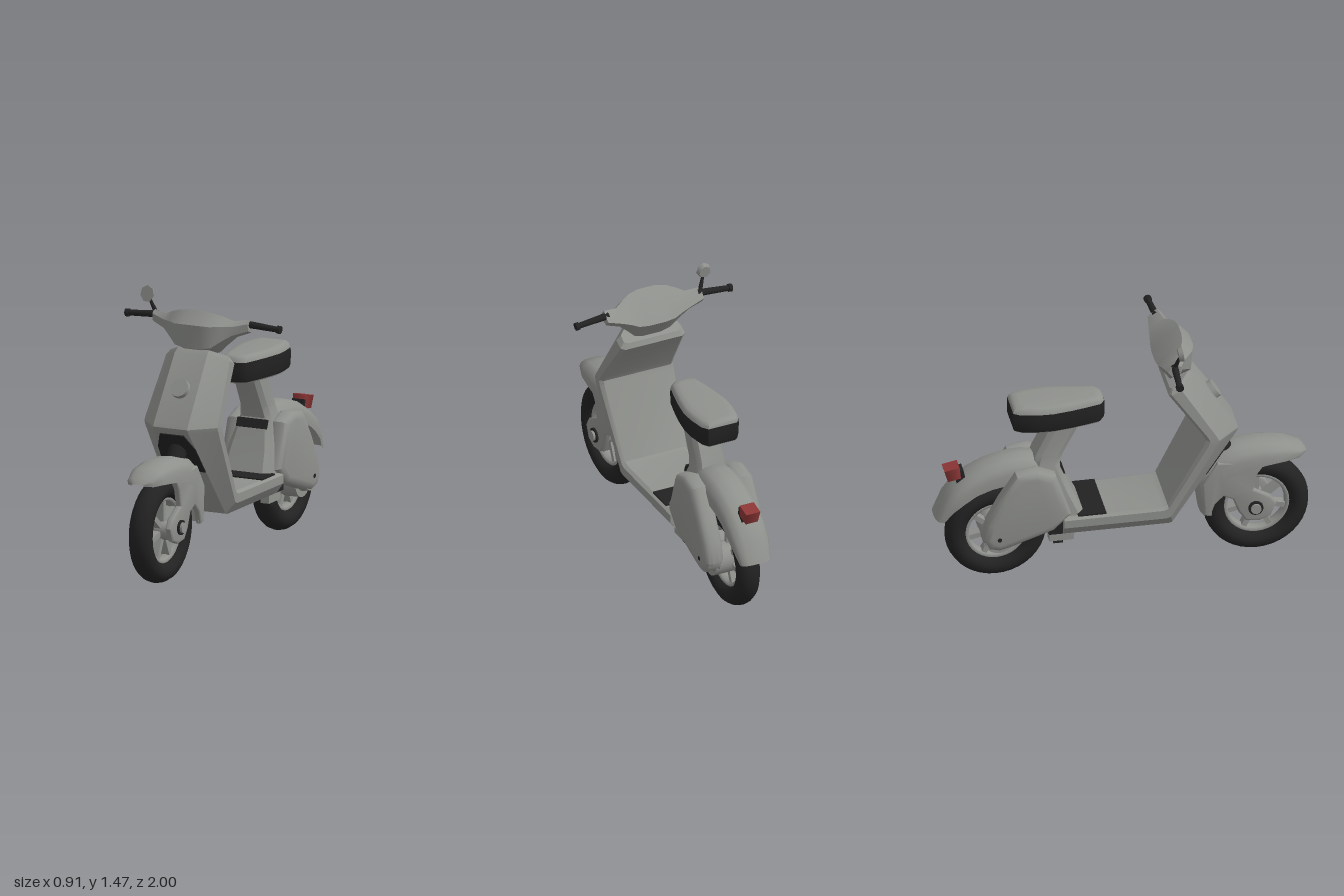
import * as THREE from 'three';
import { toCreasedNormals } from 'three/addons/utils/BufferGeometryUtils.js';

const paint = (name, color) => new THREE.MeshStandardMaterial({ name, color, side: THREE.DoubleSide });

// Skin over a list of rings (arrays of [x, y, z]); closed rings get end caps.
function loft(rings, closed = true, crease = 0.6) {
  const n = rings[0].length, pos = rings.flat(2), idx = [];
  for (let i = 0; i < rings.length - 1; i++) {
    for (let j = 0; j < (closed ? n : n - 1); j++) {
      const a = i * n + j, b = i * n + (j + 1) % n;
      idx.push(a, b, b + n, a, b + n, a + n);
    }
  }
  if (closed) {
    const last = (rings.length - 1) * n;
    for (let j = 1; j < n - 1; j++) idx.push(0, j + 1, j, last, last + j, last + j + 1);
  }
  // Turn faces outward when the enclosed volume comes out negative.
  let volume = 0;
  const p = (i) => new THREE.Vector3().fromArray(pos, i * 3);
  for (let k = 0; k < idx.length; k += 3) volume += p(idx[k]).dot(p(idx[k + 1]).cross(p(idx[k + 2])));
  if (volume < 0) idx.reverse();
  const g = new THREE.BufferGeometry();
  g.setAttribute('position', new THREE.Float32BufferAttribute(pos, 3));
  g.setIndex(idx);
  return toCreasedNormals(g, crease);
}

// Half ring (x > 0) joined with its mirror image.
const mirrorRing = (half) => [...half, ...half.map(([x, y, z]) => [-x, y, z]).reverse()];
const mix = (a, b, t) => a + (b - a) * t;

// Side outline of [z, y] points, extruded across x around xMid.
function sidePlate(points, xMid, width, bevel) {
  const g = new THREE.ExtrudeGeometry(new THREE.Shape(points.map((q) => new THREE.Vector2(...q))), {
    depth: width - 2 * bevel, bevelThickness: bevel, bevelSize: bevel, bevelOffset: -bevel, bevelSegments: 3,
  });
  g.translate(0, 0, -(width - 2 * bevel) / 2).rotateY(-Math.PI / 2).translate(xMid, 0, 0);
  return toCreasedNormals(g, 0.7);
}

// Mudguard from stations [zOuter, yOuter, zSkirt, ySkirt, halfWidth].
function mudguard(stations) {
  const arch = [[1, 0], [1, 0.45], [0.88, 0.75], [0.55, 0.95], [0, 1], [-0.55, 0.95], [-0.88, 0.75], [-1, 0.45], [-1, 0]];
  return loft(stations.map(([zo, yo, zi, yi, w]) =>
    arch.map(([u, t]) => [u * w, mix(yi, yo, t), mix(zi, zo, t)])), false, 1);
}

// Cylinder between two points.
function rod(a, b, r0, r1 = r0, sides = 14) {
  const A = new THREE.Vector3(...a), d = new THREE.Vector3(...b).sub(A);
  const g = new THREE.CylinderGeometry(r1, r0, d.length(), sides);
  g.applyQuaternion(new THREE.Quaternion().setFromUnitVectors(new THREE.Vector3(0, 1, 0), d.clone().normalize()));
  return g.translate(...A.addScaledVector(d, 0.5).toArray());
}

export function createModel() {
  const model = new THREE.Group();
  model.name = 'scooter';
  const grey = paint('bodyGrey', 0x8f918d), black = paint('rubberBlack', 0x222222), red = paint('lampRed', 0x8c3636);
  const add = (name, geometry, material, parent = model) => {
    const m = new THREE.Mesh(geometry, material);
    m.name = name;
    parent.add(m);
    return m;
  };

  // Wheels
  const wheel = (name, y, z, r, hubR, hubW) => {
    const g = new THREE.Group();
    g.name = name;
    g.position.set(0, y, z);
    model.add(g);
    add('tyre', new THREE.TorusGeometry(r - 0.057, 0.057, 14, 40).scale(1, 1, 1.15).rotateY(Math.PI / 2), black, g);
    add('rim', new THREE.TorusGeometry(r - 0.112, 0.018, 8, 36).scale(1, 1, 2).rotateY(Math.PI / 2), grey, g);
    for (let i = 0; i < 7; i++) {
      const s = add('spoke', new THREE.BoxGeometry(0.05, r - 0.11, 0.028).translate(0, (r - 0.11) / 2, 0), grey, g);
      s.rotation.x = (i / 7) * Math.PI * 2;
    }
    add('hub', rod([-hubW, 0, 0], [hubW, 0, 0], hubR, hubR, 24), grey, g);
  };
  wheel('frontWheel', 0.28, 0.72, 0.28, 0.05, 0.075);
  wheel('rearWheel', 0.272, -0.665, 0.27, 0.085, 0.12);

  // Leg shield and floor: [zOuter, yOuter, zInner, yInner, frontHalf, backHalf, side depth]
  const shield = [
    [0.345, 1.175, 0.235, 1.115, 0.09, 0.165, 0.45],
    [0.375, 1.15, 0.225, 1.085, 0.095, 0.187, 0.45],
    [0.60, 0.82, 0.405, 0.83, 0.1, 0.213, 0.35],
    [0.61, 0.80, 0.42, 0.80, 0.1, 0.215, 0.35],
    [0.60, 0.78, 0.41, 0.77, 0.102, 0.215, 0.35],
    [0.25, 0.285, 0.22, 0.41, 0.14, 0.19, 0.5],
    [0.23, 0.28, 0.19, 0.40, 0.14, 0.19, 0.5],
    [-0.33, 0.28, -0.33, 0.39, 0.14, 0.18, 0.5],
  ];
  add('legShieldAndFloor', loft(shield.map(([zo, yo, zi, yi, wf, wb, t]) => mirrorRing(
    [[wb - 0.02, 0], [wb, 0.1], [wb, t], [wf, 1]].map(([x, k]) => [x, mix(yi, yo, k), mix(zi, zo, k)]))), true, 0.4), grey);
  add('floorMat', new THREE.BoxGeometry(0.34, 0.008, 0.15).translate(0, 0.397, -0.18), black);

  // Round badge plate and dark steering opening
  const badge = add('badge', toCreasedNormals(
    new THREE.CylinderGeometry(0.05, 0.055, 0.05, 24).rotateX(Math.PI / 2), 0.6), grey);
  badge.position.set(0, 0.985, 0.487);
  badge.rotation.x = -0.594;
  const archHalf = [[0.12, -0.14], [0.11, 0.03], [0.07, 0.13]];
  const archShape = new THREE.Shape([...archHalf, ...archHalf.map(([x, y]) => [-x, y]).reverse()]
    .map((q) => new THREE.Vector2(...q)));
  const opening = add('steeringOpening', new THREE.ExtrudeGeometry(archShape, { depth: 0.008, bevelEnabled: false }), black);
  opening.position.set(0, 0.66, 0.512);
  opening.rotation.x = 0.619;
  add('steeringColumn', rod([0, 0.74, 0.48], [0, 0.58, 0.57], 0.05), black);

  // Front mudguard with fork covers
  add('frontMudguard', mudguard([
    [0.985, 0.575, 0.975, 0.565, 0.035], [0.96, 0.605, 0.94, 0.56, 0.075], [0.87, 0.642, 0.87, 0.56, 0.1],
    [0.74, 0.66, 0.76, 0.55, 0.11], [0.62, 0.655, 0.66, 0.53, 0.11], [0.51, 0.63, 0.57, 0.5, 0.11],
    [0.44, 0.57, 0.52, 0.45, 0.105], [0.40, 0.48, 0.48, 0.42, 0.1], [0.402, 0.36, 0.47, 0.35, 0.1],
    [0.415, 0.27, 0.47, 0.265, 0.09],
  ]), grey);
  const forkOutline = [[0.76, 0.57], [0.71, 0.5], [0.69, 0.41], [0.78, 0.36], [0.81, 0.31], [0.78, 0.24], [0.72, 0.215],
    [0.65, 0.225], [0.61, 0.28], [0.58, 0.36], [0.53, 0.385], [0.485, 0.34], [0.46, 0.27], [0.43, 0.28], [0.42, 0.47], [0.5, 0.59]];

  // Rear mudguard
  add('rearMudguard', mudguard([
    [-0.37, 0.66, -0.38, 0.5, 0.1], [-0.45, 0.71, -0.47, 0.56, 0.105], [-0.53, 0.722, -0.54, 0.58, 0.105],
    [-0.62, 0.715, -0.62, 0.585, 0.105], [-0.72, 0.688, -0.70, 0.57, 0.105], [-0.82, 0.635, -0.78, 0.54, 0.105],
    [-0.89, 0.58, -0.84, 0.5, 0.105], [-0.945, 0.505, -0.90, 0.45, 0.1], [-0.995, 0.39, -0.95, 0.385, 0.085],
  ]), grey);
  const coverOutline = [[-0.37, 0.65], [-0.29, 0.41], [-0.38, 0.32], [-0.6, 0.245], [-0.67, 0.225], [-0.73, 0.24], [-0.76, 0.3],
    [-0.74, 0.4], [-0.67, 0.53], [-0.58, 0.67], [-0.47, 0.69]];

  // Paired parts
  for (const s of [-1, 1]) {
    add('forkCover', sidePlate(forkOutline, s * 0.09, 0.036, 0.01), grey);
    add('frontAxleRing', rod([s * 0.1, 0.3, 0.7], [s * 0.118, 0.3, 0.7], 0.04), black);
    add('frontAxleNut', rod([s * 0.1, 0.3, 0.7], [s * 0.13, 0.3, 0.7], 0.028), grey);
    add('rearSideCover', sidePlate(coverOutline, s * 0.127, 0.114, 0.04), grey);
    add('rearHubCap', rod([s * 0.1, 0.3, -0.675], [s * 0.165, 0.3, -0.675], 0.085, 0.075, 24), grey);
    add('rearAxleBolt', rod([s * 0.17, 0.305, -0.675], [s * 0.186, 0.305, -0.675], 0.012), black);
    add('grip', rod([s * 0.26, 1.312, 0.24], [s * 0.45, 1.298, 0.232], 0.019, 0.015), black);
    add('gripEnd', rod([s * 0.435, 1.3, 0.232], [s * 0.455, 1.298, 0.232], 0.021), black);
    add('standBracket', new THREE.BoxGeometry(0.05, 0.07, 0.13).translate(s * 0.1, 0.265, -0.335), grey);
    add('standFoot', new THREE.BoxGeometry(0.035, 0.03, 0.05).translate(s * 0.09, 0.22, -0.35), black);
  }
  add('engineBlock', new THREE.BoxGeometry(0.28, 0.12, 0.09).translate(0, 0.34, -0.36), black);

  // Seat column: [y, zFront, zBack, halfWidth]
  const column = [[0.39, -0.215, -0.38, 0.15], [0.52, -0.275, -0.42, 0.13], [0.67, -0.335, -0.48, 0.09],
    [0.73, -0.315, -0.46, 0.08], [0.91, -0.22, -0.37, 0.075]];
  add('seatColumn', loft(column.map(([y, f, b, w]) => mirrorRing(
    [[w * 0.75, y, f], [w, y, f - 0.03], [w, y, b + 0.03], [w * 0.75, y, b]]))), grey);
  add('columnBand', new THREE.BoxGeometry(0.18, 0.05, 0.008).rotateX(-0.4).translate(0, 0.64, -0.322), black);

  // Seat: plan outline scaled per level [y, scale]
  const plan = [[0.04, -0.09], [0.075, -0.115], [0.095, -0.19], [0.115, -0.28], [0.13, -0.38], [0.127, -0.46], [0.11, -0.55], [0.085, -0.587]];
  const seatPart = (levels) => loft(levels.map(([y, k]) => mirrorRing(
    plan.map(([x, z]) => [x * k, y, -0.34 + (z + 0.34) * mix(1, k, 0.5)]))), true, 0.8);
  add('seatSkirt', seatPart([[0.905, 0.93], [0.92, 0.98], [0.98, 1], [1.012, 0.985]]), black);
  add('seatCushion', seatPart([[1.01, 0.985], [1.03, 0.94], [1.042, 0.83], [1.045, 0.6]]), grey);
  add('seatBase', seatPart([[0.897, 0.87], [0.906, 0.92]]), grey);
  add('seatLatch', new THREE.BoxGeometry(0.04, 0.03, 0.03).translate(0, 0.885, -0.42), black);

  // Handlebar housing: [x, yBottom, yTop, zBack, zFront]
  const hex = [[0.7, 1], [1, 0.72], [0.95, 0.2], [0.35, 0], [0, 0.4], [0.35, 0.76]];
  const bar = [[0.28, 1.265, 1.34, 0.2, 0.27], [0.2, 1.235, 1.327, 0.19, 0.3], [0.15, 1.19, 1.35, 0.185, 0.335],
    [0.105, 1.145, 1.365, 0.18, 0.365], [0.05, 1.13, 1.375, 0.175, 0.378]];
  const stations = [...bar, ...bar.map(([x, ...r]) => [-x, ...r]).reverse()];
  add('handlebarHousing', loft(stations.map(([x, y0, y1, z0, z1]) =>
    hex.map(([u, v]) => [x, mix(y0, y1, v), mix(z0, z1, u)])), true, 0.6), grey);

  // Mirror
  add('mirrorStem', rod([-0.275, 1.32, 0.24], [-0.3, 1.39, 0.258], 0.012, 0.008), black);
  const glass = add('mirror', new THREE.CylinderGeometry(0.034, 0.042, 0.024, 7).rotateX(-Math.PI / 2).scale(0.95, 1.08, 1), grey);
  glass.position.set(-0.31, 1.42, 0.262);
  glass.rotation.x = -0.15;

  // Tail light
  const lamp = new THREE.Group();
  lamp.name = 'tailLight';
  lamp.position.set(0, 0.635, -0.885);
  lamp.rotation.x = -0.2;
  model.add(lamp);
  add('lampBase', new THREE.BoxGeometry(0.07, 0.07, 0.05).translate(0, -0.015, 0.025), black, lamp);
  add('lampLens', new THREE.CylinderGeometry(0.058, 0.05, 0.07, 4).rotateY(Math.PI / 4).translate(0, 0.01, -0.008), red, lamp);

  return model;
}
